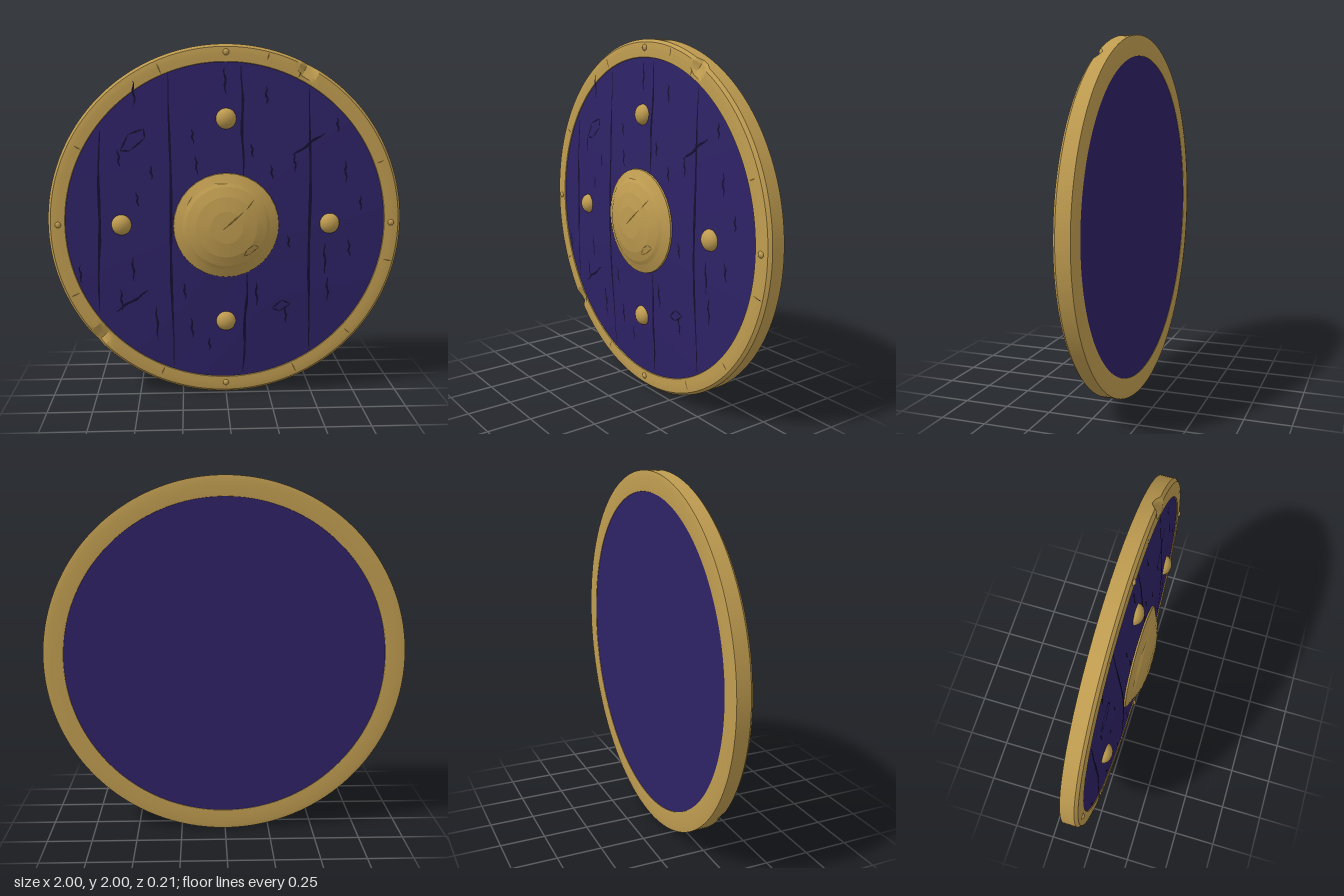
import * as THREE from 'three';
import { mergeGeometries, toCreasedNormals } from 'three/addons/utils/BufferGeometryUtils.js';

const CY = 1; // height of the shield centre
const gold = new THREE.MeshStandardMaterial({ name: 'gold', color: 0xbf9c50 });
const darkGold = new THREE.MeshStandardMaterial({ name: 'dark gold', color: 0x6e5727 });
const paint = new THREE.MeshStandardMaterial({ name: 'purple paint', color: 0x2e2266 });
const groove = new THREE.MeshStandardMaterial({ name: 'dark groove', color: 0x150f30 });

const bossProfile = [[0.3, 0.015], [0.295, 0.036], [0.245, 0.058], [0.225, 0.07], [0.17, 0.089], [0.09, 0.102], [0, 0.105]];

// Height of the front surface at a radius
function surfaceZ(r) {
  if (r > 0.9) return -0.004;
  if (r > 0.3) return 0.045 - 0.06 * r;
  for (let i = 1; i < bossProfile.length; i++) {
    const [r1, z1] = bossProfile[i - 1], [r2, z2] = bossProfile[i];
    if (r >= r2) return z2 + (z1 - z2) * (r - r2) / (r1 - r2);
  }
  return 0.105;
}

// Solid of revolution about the z axis
function turned(profile, segments) {
  const g = new THREE.LatheGeometry(profile.map(([r, z]) => new THREE.Vector2(r, z)), segments);
  return g.rotateX(Math.PI / 2);
}

// Thin tapered ribbon that follows the front surface
function crack([x1, y1], [x2, y2], width, wobble = 0.004) {
  const n = 10, pos = [], index = [];
  const len = Math.hypot(x2 - x1, y2 - y1);
  const px = -(y2 - y1) / len, py = (x2 - x1) / len;
  for (let i = 0; i <= n; i++) {
    const t = i / n;
    const w = width / 2 * (0.25 + 0.75 * Math.sin(Math.PI * t)) * (1 + 0.25 * Math.sin(i * 2.3 + x1 * 9));
    const sway = wobble * Math.sin(i * 1.1 + x1 * 17 + y1 * 5);
    for (const o of [sway + w, sway - w]) {
      const x = x1 + (x2 - x1) * t + px * o, y = y1 + (y2 - y1) * t + py * o;
      pos.push(x, y, surfaceZ(Math.hypot(x, y - CY)) + 0.003);
    }
    if (i < n) index.push(2 * i, 2 * i + 1, 2 * i + 2, 2 * i + 1, 2 * i + 3, 2 * i + 2);
  }
  const g = new THREE.BufferGeometry();
  g.setAttribute('position', new THREE.Float32BufferAttribute(pos, 3));
  g.setIndex(index);
  g.computeVertexNormals();
  return g;
}

// Closed outline of a chip
const chip = (pts, w) => pts.map((p, i) => crack(p, pts[(i + 1) % pts.length], w, 0));

export function createModel() {
  const group = new THREE.Group();
  group.name = 'roundShield';
  const add = (name, geometry, material, x = 0, y = 0, z = 0) => {
    const mesh = new THREE.Mesh(geometry, material);
    mesh.name = name;
    mesh.position.set(x, y, z);
    group.add(mesh);
    return mesh;
  };

  // Slightly domed wooden board
  const board = turned([[0, -0.1], [0.905, -0.1], [0.905, -0.0093], [0.28, 0.0282], [0, 0.03]], 96);
  add('board', toCreasedNormals(board, 0.5), paint, 0, CY);

  // Metal rim with two hammered dents
  const rim = turned([[0.885, -0.09], [0.89, -0.102], [0.97, -0.105], [1, -0.1], [1, -0.06], [1, -0.024], [0.985, -0.008],
    [0.965, -0.005], [0.945, -0.004], [0.925, -0.004], [0.905, -0.004], [0.898, -0.02]], 160);
  const p = rim.attributes.position;
  for (const [dx, dy, size] of [[0.455, 0.865, 0.055], [-0.715, -0.645, 0.055]]) {
    for (let i = 0; i < p.count; i++) {
      const d = Math.hypot(p.getX(i) - dx, p.getY(i) - dy) / size;
      if (d < 1 && p.getZ(i) > -0.05) p.setZ(i, p.getZ(i) - 0.03 * (1 - d * d));
    }
  }
  add('rim', toCreasedNormals(rim, 0.45), gold, 0, CY);

  // Central boss, faceted like beaten metal
  add('boss', toCreasedNormals(turned(bossProfile, 32), 0.12), gold, 0, CY);

  // Four large studs and four rim rivets
  const stud = new THREE.SphereGeometry(0.058, 16, 12);
  for (const [x, y] of [[0, 1.595], [0, 0.44], [-0.587, 1.005], [0.587, 1.005]])
    add('stud', stud, gold, x, y, 0.004).scale.z = 0.8;
  const rivet = new THREE.SphereGeometry(0.018, 8, 6);
  for (const [x, y] of [[0, 1.955], [0, 0.06], [-0.943, 1.005], [0.943, 1.005]])
    add('rivet', rivet, gold, x, y, -0.006).scale.z = 0.8;

  // Seams between the planks
  const seams = [[-0.7, 1.53, -0.725, 0.5], [-0.315, 1.84, -0.305, 0.17], [0.085, 1.88, 0.095, 1.285],
    [0.12, 0.72, 0.1, 0.12], [0.465, 1.76, 0.48, 0.25]];
  const marks = seams.map(([a, b, c, d]) => crack([a, b], [c, d], 0.016));

  // Wood grain: x, centre height, length
  const grain = [[-0.51, 1.73, 0.14], [-0.6, 1.38, 0.1], [-0.5, 1.15, 0.08], [-0.53, 0.75, 0.14], [-0.83, 0.72, 0.1],
    [-0.6, 0.57, 0.12], [-0.4, 0.43, 0.2], [-0.42, 1.3, 0.08], [-0.19, 1.5, 0.08], [-0.17, 1.34, 0.1],
    [-0.24, 0.62, 0.1], [-0.2, 0.4, 0.12], [-0.01, 1.8, 0.15], [-0.1, 0.3, 0.08], [0.14, 1.42, 0.08],
    [0.22, 1.72, 0.1], [0.25, 1.3, 0.08], [0.17, 0.6, 0.14], [0.34, 0.47, 0.1], [0.35, 0.9, 0.08],
    [0.38, 1.35, 0.1], [0.56, 0.8, 0.18], [0.58, 0.62, 0.14], [0.67, 1.3, 0.12], [0.7, 0.86, 0.1],
    [0.76, 1.12, 0.08], [0.62, 1.56, 0.08]];
  for (const [x, y, l] of grain) marks.push(crack([x, y + l / 2], [x + 0.008, y - l / 2], 0.012));

  // Weapon cuts and chips in the wood
  marks.push(crack([0.37, 1.39], [0.55, 1.515], 0.016), crack([-0.63, 0.5], [-0.44, 0.625], 0.014),
    ...chip([[-0.585, 1.42], [-0.53, 1.42], [-0.45, 1.49], [-0.455, 1.54], [-0.54, 1.51]], 0.01),
    ...chip([[0.265, 0.51], [0.31, 0.495], [0.37, 0.535], [0.32, 0.56]], 0.009));
  add('woodMarks', mergeGeometries(marks), groove);

  // Scratches on the boss
  const scratches = [crack([-0.02, 0.99], [0.09, 1.085], 0.01, 0), crack([0.11, 1.1], [0.15, 1.15], 0.008, 0),
    crack([-0.22, 1.12], [-0.19, 1.17], 0.006, 0), crack([-0.07, 1.24], [0.01, 1.24], 0.005, 0),
    ...chip([[0.095, 0.835], [0.13, 0.845], [0.18, 0.885], [0.155, 0.9], [0.115, 0.875]], 0.006)];
  // Nicks across the rim: angle in degrees, inner and outer radius
  for (const [deg, r1, r2] of [[22, 0.92, 0.96], [76, 0.94, 0.98], [113, 0.91, 0.97], [152, 0.91, 0.95], [205, 0.92, 0.97],
    [247, 0.91, 0.96], [295, 0.91, 0.97], [318, 0.93, 0.97], [347, 0.93, 0.98], [64, 0.91, 0.94]]) {
    const a = deg * Math.PI / 180;
    const at = r => [r * Math.cos(a), CY + r * Math.sin(a)];
    scratches.push(crack(at(r1), at(r2), 0.008, 0));
  }
  add('metalScratches', mergeGeometries(scratches), darkGold);

  return group;
}
